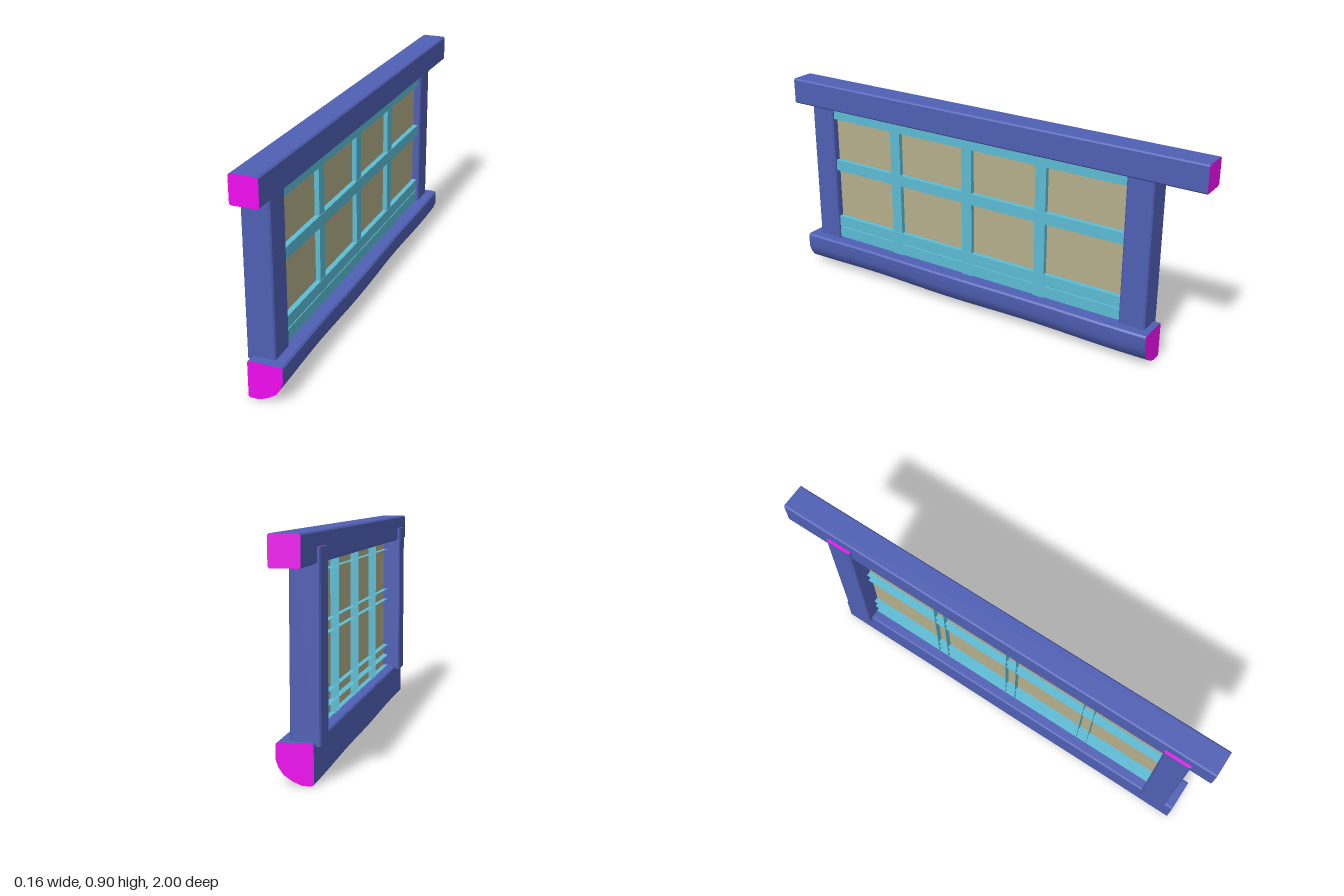
import * as THREE from 'three';
import { toCreasedNormals } from 'three/addons/utils/BufferGeometryUtils.js';

const paint = new THREE.MeshStandardMaterial({ color: 0x4f5fb4 });
const endGrain = new THREE.MeshStandardMaterial({ color: 0xf00cf0 });
const trim = new THREE.MeshStandardMaterial({ color: 0x5cbcd4, side: THREE.DoubleSide });
const paper = new THREE.MeshStandardMaterial({ color: 0xb4af8a, side: THREE.DoubleSide });

// Rectangle with slightly eased corners
function easedRect(x0, y0, x1, y1, r = 0.006) {
  return new THREE.Shape([
    [x0 + r, y0], [x1 - r, y0], [x1, y0 + r], [x1, y1 - r],
    [x1 - r, y1], [x0 + r, y1], [x0, y1 - r], [x0, y0 + r],
  ].map(([x, y]) => new THREE.Vector2(x, y)));
}

// Timber extruded along z; the cut ends get their own colour
function timber(name, shape, length, steps = 1) {
  const geo = new THREE.ExtrudeGeometry(shape, { depth: length, steps, bevelEnabled: false });
  const mesh = new THREE.Mesh(geo, [endGrain, paint]);
  mesh.name = name;
  return mesh;
}

// Hollow bar, open at the back; faces are kept by their box index
function channel(name, height, length, z, y, front, faces) {
  const geo = new THREE.BoxGeometry(0.044, height, length);
  const index = Array.from(geo.index.array);
  geo.setIndex(faces.flatMap((f) => index.slice(f * 6, f * 6 + 6)));
  geo.clearGroups();
  const mesh = new THREE.Mesh(geo, trim);
  mesh.name = name;
  mesh.position.set(front - 0.022, y, z);
  return mesh;
}

export function createModel() {
  const model = new THREE.Group();
  model.name = 'windowFrame';

  // Top beam
  const beam = timber('topBeam', easedRect(-0.07, 0.79, 0.043, 0.905), 2);
  beam.position.z = -1;
  model.add(beam);

  // Side posts
  for (const [name, z] of [['frontPost', 0.848], ['rearPost', -0.732]]) {
    const post = timber(name, easedRect(-0.082, -0.0575, 0.033, 0.0575), 0.71);
    post.geometry.rotateX(-Math.PI / 2);
    post.position.set(0, 0.14, z);
    model.add(post);
  }

  // Sill with a rounded, gently uneven outer underside
  const sillShape = new THREE.Shape([
    [-0.063, 0.009], [-0.057, 0.003], [-0.02, 0.003], [0.014, 0.017], [0.048, 0.039],
    [0.067, 0.067], [0.077, 0.095], [0.077, 0.149], [0.07, 0.156], [-0.057, 0.156], [-0.063, 0.15],
  ].map(([x, y]) => new THREE.Vector2(x, y)));
  const sill = timber('sill', sillShape, 1.762, 18);
  const p = sill.geometry.attributes.position;
  for (let i = 0; i < p.count; i++) {
    const wave = 0.002 * Math.sin(p.getZ(i) * 7.5 + 0.6);
    if (p.getX(i) > 0.01) p.setX(i, p.getX(i) + wave);
    if (p.getY(i) < 0.1) p.setY(i, p.getY(i) - wave);
  }
  sill.geometry = toCreasedNormals(sill.geometry, 0.65);
  sill.position.z = -0.818;
  model.add(sill);

  // Infill panel
  const midZ = 0.058;
  const width = 1.466;
  const panel = new THREE.Mesh(new THREE.PlaneGeometry(width, 0.64).rotateY(Math.PI / 2), paper);
  panel.name = 'panel';
  panel.position.set(0, 0.475, midZ);
  model.add(panel);

  // Lattice bars
  for (const y of [0.77, 0.522, 0.241, 0.186]) {
    model.add(channel('horizontalBar', 0.05, width, midZ, y, 0.022, [0, 2, 3]));
  }
  for (const z of [0.448, 0.07, -0.292]) {
    model.add(channel('verticalBar', 0.64, 0.05, z, 0.475, 0.02, [0, 4, 5]));
  }
  return model;
}
